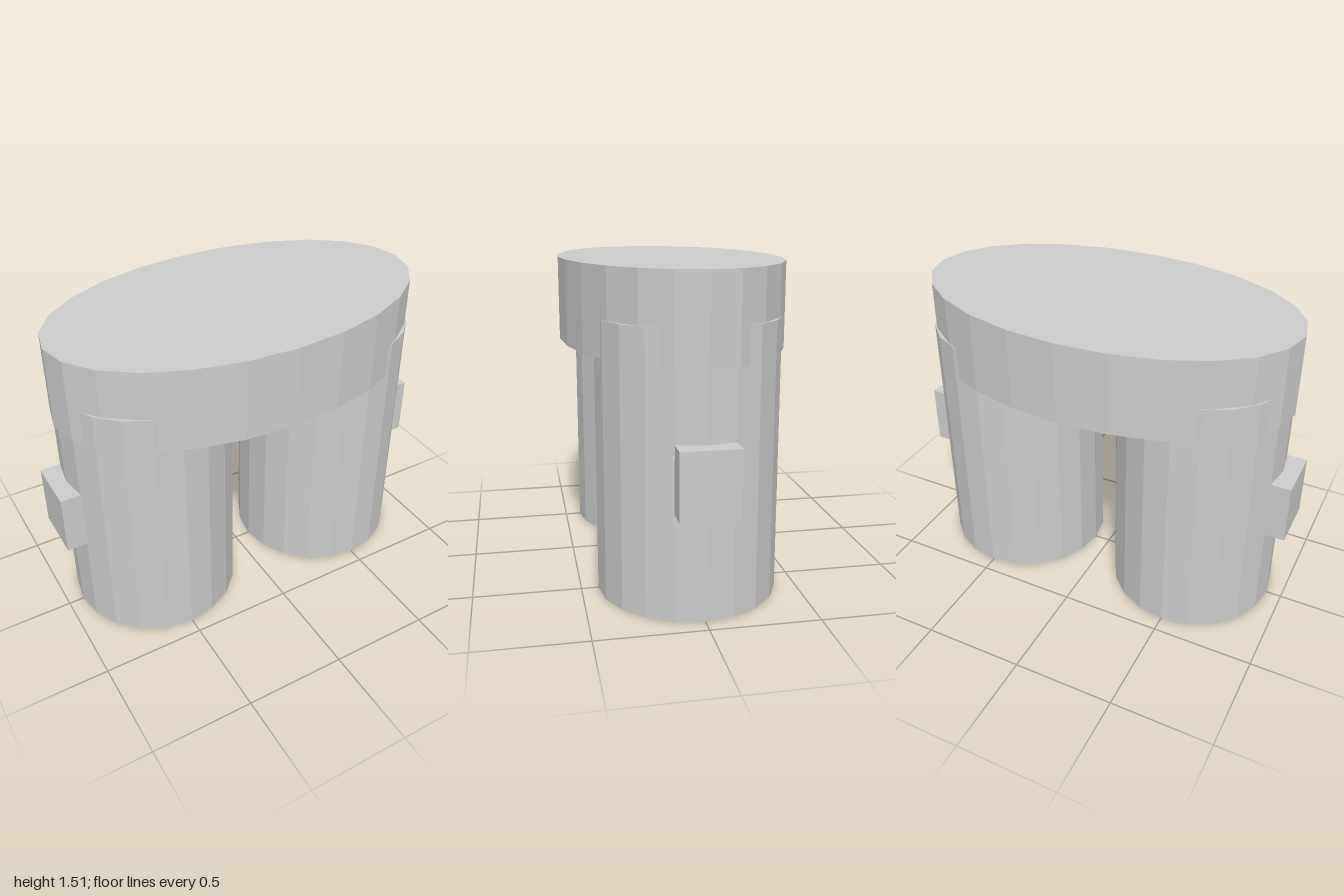
import * as THREE from 'three';

export function createModel() {
  const model = new THREE.Group();
  const grey = new THREE.MeshStandardMaterial({ color: 0xcccccc });
  grey.name = 'light grey';

  // Add a flat-faceted part with its centre at (x, y, 0)
  const add = (name, geometry, x, y) => {
    const flat = geometry.toNonIndexed();
    flat.computeVertexNormals();
    const mesh = new THREE.Mesh(flat, grey);
    mesh.name = name;
    mesh.position.set(x, y, 0);
    model.add(mesh);
  };

  // Oval slab across the top
  const slab = new THREE.CylinderGeometry(1, 1, 0.4, 24).scale(0.94, 1, 0.537);
  add('ovalTop', slab, 0, 1.313);

  // Two round legs that run up into the slab, each with a block on its outer side
  for (const [side, s] of [['left', 1], ['right', -1]]) {
    add(side + 'Leg', new THREE.CylinderGeometry(0.42, 0.42, 1.28, 20), s * 0.503, 0.64);
    add(side + 'SideBlock', new THREE.BoxGeometry(0.2, 0.303, 0.267), s * 0.9, 0.642);
  }
  return model;
}
